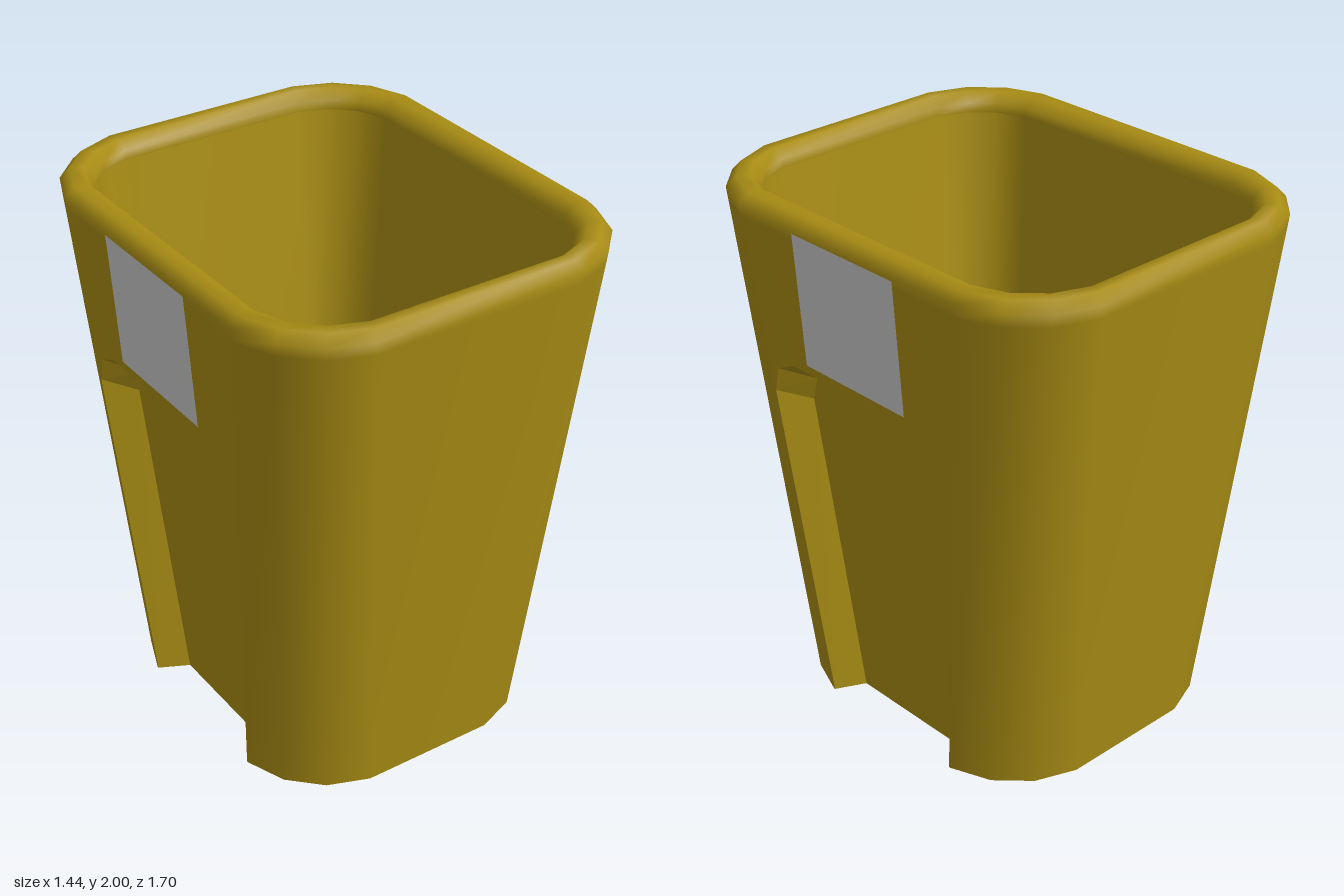
import * as THREE from 'three';

const H = 1.965; // widest height of the shell
const SEAM = 1.92; // height where the flat side walls meet the rim
const shellMat = new THREE.MeshStandardMaterial({ color: 0xa88c14, side: THREE.DoubleSide });
const greyMat = new THREE.MeshStandardMaterial({ color: 0xcccccc, side: THREE.DoubleSide });

// Rounded rectangle section: half sizes hx, hz, corner size r, three facets per corner
function ring({ hx, hz, r }) {
  const pts = [];
  for (let c = 0; c < 4; c++) {
    const sx = c === 0 || c === 3 ? 1 : -1, sz = c < 2 ? 1 : -1;
    for (let k = 0; k < 4; k++) {
      const a = (c + k / 3) * Math.PI / 2;
      const rk = k % 3 ? r * 0.945 : r; // corners are slightly flattened
      pts.push([sx * (hx - r) + rk * Math.cos(a), sz * (hz - r) + rk * Math.sin(a)]);
    }
  }
  return pts;
}

// Skin between sections; edges listed in skip are left open in the first row
function loft(sections, skip = []) {
  const pos = [], full = [], kept = [], n = 16;
  for (const s of sections) for (const [x, z] of ring(s)) pos.push(x, s.y, z);
  for (let j = 0; j < sections.length - 1; j++) {
    for (let i = 0; i < n; i++) {
      const a = j * n + i, b = j * n + (i + 1) % n;
      const quad = [a, a + n, b, b, a + n, b + n];
      full.push(...quad);
      if (j > 0 || !skip.includes(i)) kept.push(...quad);
    }
  }
  const g = new THREE.BufferGeometry();
  g.setAttribute('position', new THREE.Float32BufferAttribute(pos, 3));
  g.setIndex(full);
  g.computeVertexNormals();
  g.setIndex(kept);
  return g;
}

function mesh(name, geometry, material = shellMat) {
  const m = new THREE.Mesh(geometry, material);
  m.name = name;
  return m;
}

// Outer section of the shell at height y
const outerAt = y => ({ y, hx: 0.58 + 0.14 * y / H, hz: 0.648 + 0.202 * y / H, r: 0.32 });

// Point on the sloping side wall, pushed in by depth
const onWall = (u, v, depth) => [outerAt(v).hx - depth, v, -u];

// Flat outline laid on the sloping side wall
function wallSheet(points, depth) {
  const g = new THREE.ShapeGeometry(new THREE.Shape(points.map(([u, v]) => new THREE.Vector2(u, v))));
  const p = g.attributes.position;
  for (let i = 0; i < p.count; i++) p.setXYZ(i, ...onWall(p.getX(i), p.getY(i), depth));
  g.computeVertexNormals();
  return g;
}

// Half an arch outline mirrored to a whole one, running left to right
const arch = half => [...half.map(([u, v]) => [-u, v]), ...half.slice().reverse()];

function createSide(name) {
  const side = new THREE.Group();
  side.name = name;
  const depth = 0.11;
  const outer = arch([[0.322, 0], [0.455, 1.27], [0.425, 1.37], [0.33, 1.415]]);
  const inner = arch([[0.268, 0], [0.388, 1.22], [0.355, 1.315], [0.26, 1.36]]);

  // Wall around the recess
  const foot = outerAt(0).hz - 0.32, top = outerAt(SEAM).hz - 0.32;
  side.add(mesh('sideWall', wallSheet([[-foot, 0], ...outer, [foot, 0], [top, SEAM], [-top, SEAM]], 0)));
  side.add(mesh('recessPanel', wallSheet(inner, depth)));

  // Drafted edge of the recess
  const pos = [];
  for (let i = 0; i < outer.length - 1; i++) {
    const o0 = onWall(...outer[i], 0), o1 = onWall(...outer[i + 1], 0);
    const i0 = onWall(...inner[i], depth), i1 = onWall(...inner[i + 1], depth);
    pos.push(...o0, ...i0, ...i1, ...o0, ...i1, ...o1);
  }
  const edge = new THREE.BufferGeometry();
  edge.setAttribute('position', new THREE.Float32BufferAttribute(pos, 3));
  edge.computeVertexNormals();
  side.add(mesh('recessEdge', edge));

  // Square plate above the recess
  side.add(mesh('plate', wallSheet([[-0.25, 1.45], [0.25, 1.45], [0.25, 1.947], [-0.25, 1.947]], -0.003), greyMat));
  return side;
}

export function createModel() {
  const model = new THREE.Group();
  model.name = 'bin';

  const lip = { y: 1.93, hx: 0.597, hz: 0.745, r: 0.23 };
  const base = { y: 0.66, hx: 0.46, hz: 0.592, r: 0.177 };

  // Outer shell with its rounded rim, open on the two sides where the recessed walls go
  model.add(mesh('shell', loft([
    outerAt(0),
    outerAt(SEAM),
    outerAt(H),
    { y: 2, hx: 0.687, hz: 0.82, r: 0.3 },
    { y: 2, hx: 0.635, hz: 0.778, r: 0.26 },
    { ...lip, y: H },
    lip,
  ], [7, 15])));

  // Inner cavity with its raised floor
  model.add(mesh('innerWall', loft([lip, base])));
  const floor = new THREE.ShapeGeometry(new THREE.Shape(ring(base).map(([x, z]) => new THREE.Vector2(x, z))));
  floor.rotateX(-Math.PI / 2).translate(0, base.y, 0);
  model.add(mesh('floor', floor));

  // Recessed side walls
  const left = createSide('leftSide');
  const right = createSide('rightSide');
  right.rotation.y = Math.PI;
  model.add(left, right);
  return model;
}
